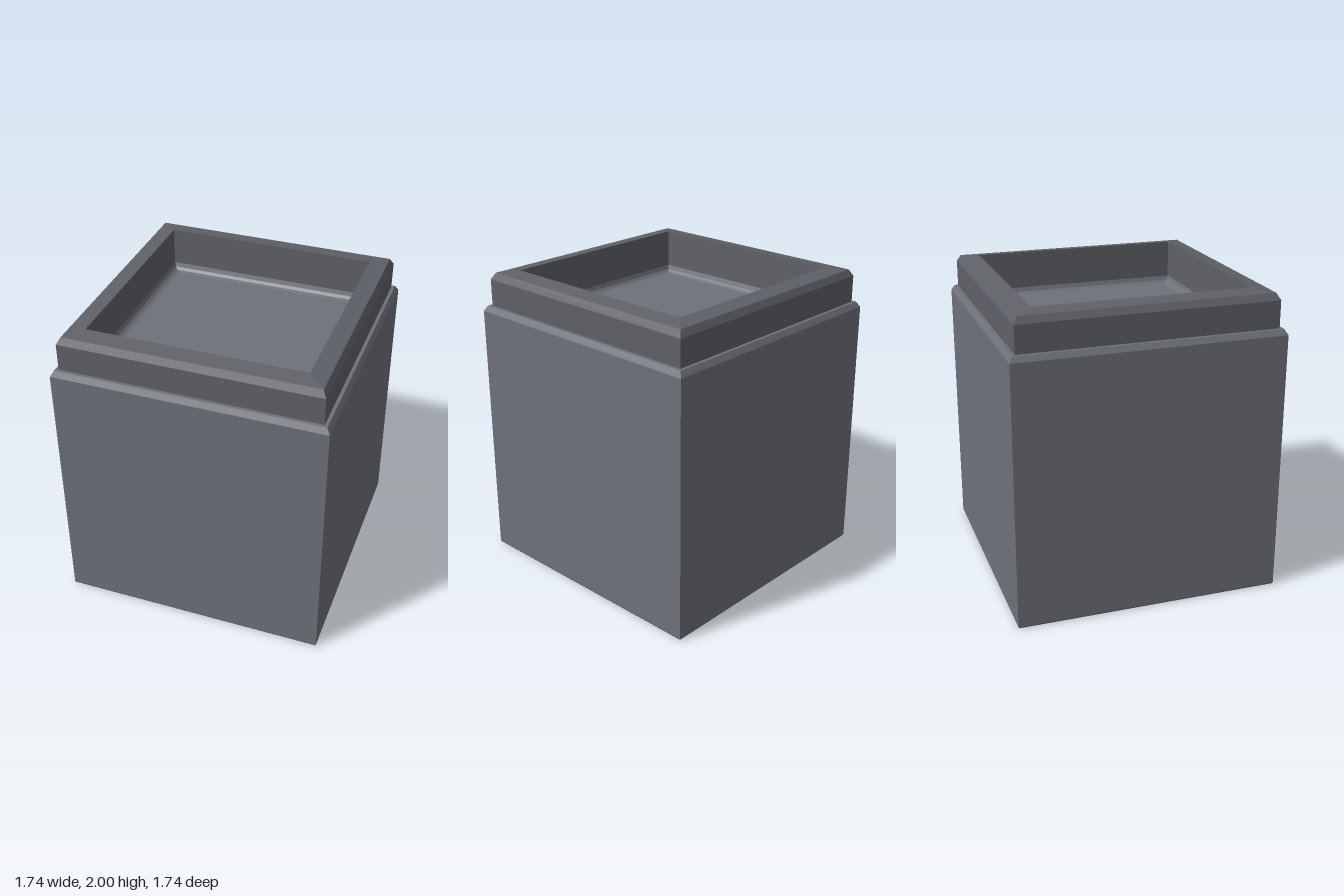
import * as THREE from 'three';

const bodyMaterial = new THREE.MeshStandardMaterial({ color: 0x6e7179, flatShading: true });
const rimMaterial = new THREE.MeshStandardMaterial({ color: 0x5f6168, flatShading: true });

// Sweeps a profile of [half width, height] points around a square plan.
function squareLathe(name, material, profile) {
  const points = profile.map(([half, y]) => new THREE.Vector2(half * Math.SQRT2, y));
  const geometry = new THREE.LatheGeometry(points, 4, Math.PI / 4).toNonIndexed();
  geometry.computeVertexNormals();
  const mesh = new THREE.Mesh(geometry, material);
  mesh.name = name;
  return mesh;
}

export function createModel() {
  const model = new THREE.Group();
  model.name = 'squareContainer';

  // Block with a thin bottom bevel, chamfered shoulder and narrow ledge
  model.add(squareLathe('body', bodyMaterial, [
    [0, 0], [0.867, 0], [0.872, 0.01], [0.872, 1.73], [0.851, 1.766], [0.83, 1.766],
  ]));

  // Raised collar with a chamfered edge, gently sloping top and inner wall
  model.add(squareLathe('rim', rimMaterial, [
    [0.83, 1.766], [0.83, 1.942], [0.806, 1.985], [0.695, 2], [0.695, 1.75],
  ]));

  // Recessed floor with a rounded bevel where it meets the wall
  model.add(squareLathe('recessedFloor', bodyMaterial, [
    [0.695, 1.75], [0.685, 1.722], [0.668, 1.707], [0.645, 1.7], [0, 1.7],
  ]));

  return model;
}
